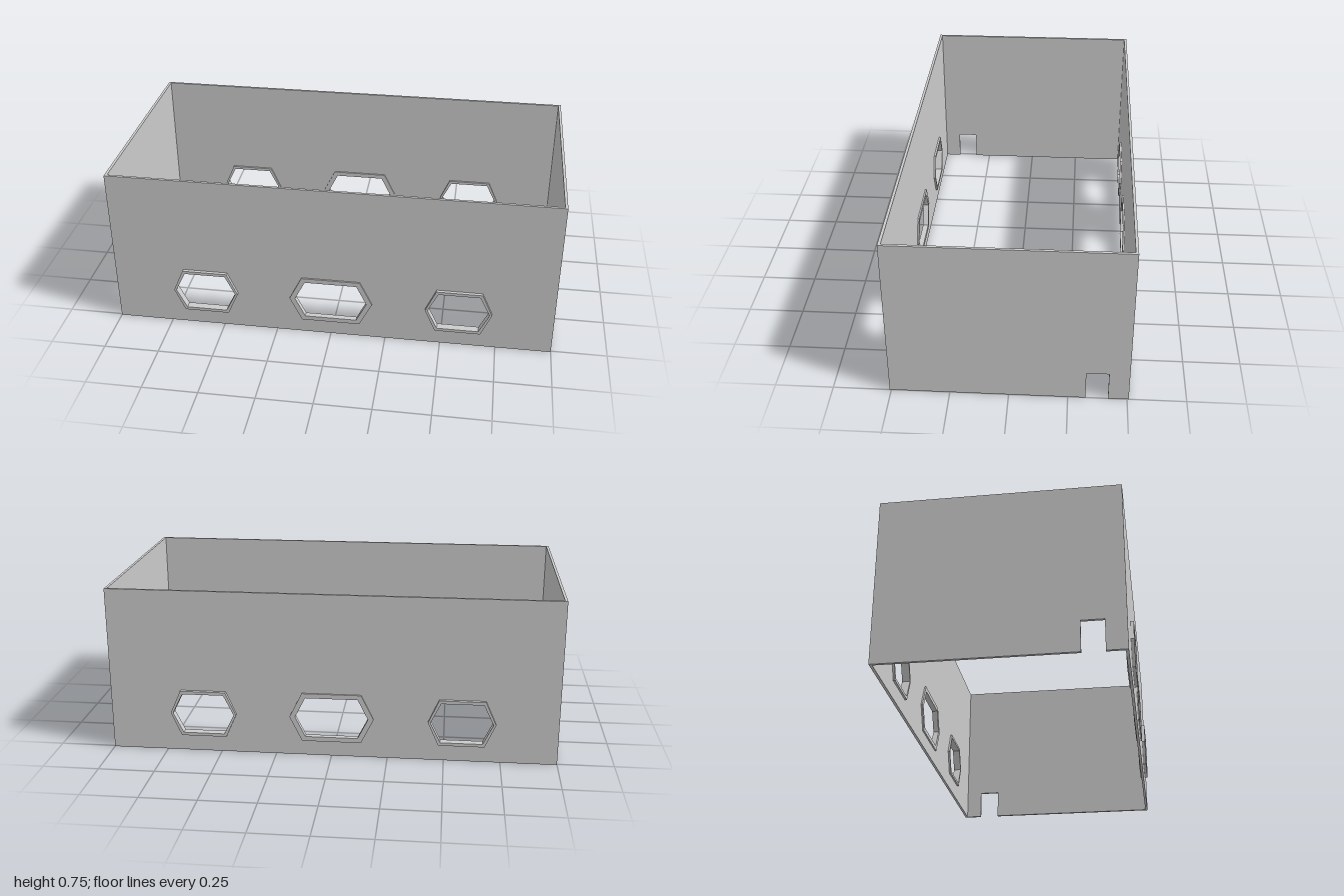
import * as THREE from 'three';

const material = new THREE.MeshStandardMaterial({ color: 0xcccccc, flatShading: true });
const W = 2, H = 0.75, D = 1.014, T = 0.012;
const WINDOW_Y = 0.182;

// Stretched hexagon with points at left and right
function hexagon(path, cx, cy, halfW, halfH, flat) {
  path.moveTo(cx - halfW, cy);
  path.lineTo(cx - flat, cy - halfH);
  path.lineTo(cx + flat, cy - halfH);
  path.lineTo(cx + halfW, cy);
  path.lineTo(cx + flat, cy + halfH);
  path.lineTo(cx - flat, cy + halfH);
  path.closePath();
  return path;
}

function extrude(name, shape, depth) {
  const mesh = new THREE.Mesh(
    new THREE.ExtrudeGeometry(shape, { depth, bevelEnabled: false }), material);
  mesh.name = name;
  return mesh;
}

// halfW, halfH, flat describe the opening; rimW, rimH, rimFlat the frame outline
const sideWindow = { halfW: 0.138, halfH: 0.092, flat: 0.093, rimW: 0.149, rimH: 0.106, rimFlat: 0.102, inner: 0.486, outer: 0.522 };
const middleWindow = { halfW: 0.163, halfH: 0.092, flat: 0.117, rimW: 0.188, rimH: 0.113, rimFlat: 0.132, inner: 0.488, outer: 0.514 };
const windows = [
  { x: -0.577, ...sideWindow },
  { x: 0, ...middleWindow },
  { x: 0.577, ...sideWindow },
];

// Long wall with three hexagonal windows and their frames, facing +z
function longWall(name) {
  const group = new THREE.Group();
  group.name = name;
  const shape = new THREE.Shape();
  shape.moveTo(-W / 2, 0);
  shape.lineTo(W / 2, 0);
  shape.lineTo(W / 2, H);
  shape.lineTo(-W / 2, H);
  shape.closePath();
  for (const w of windows) {
    shape.holes.push(hexagon(new THREE.Path(), w.x, WINDOW_Y, w.halfW + 0.004, w.halfH + 0.004, w.flat + 0.003));
    const rim = hexagon(new THREE.Shape(), w.x, WINDOW_Y, w.rimW, w.rimH, w.rimFlat);
    rim.holes.push(hexagon(new THREE.Path(), w.x, WINDOW_Y, w.halfW, w.halfH, w.flat));
    const frame = extrude('windowFrame', rim, w.outer - w.inner);
    frame.position.z = w.inner;
    group.add(frame);
  }
  const panel = extrude('longPanel', shape, T);
  panel.position.z = D / 2 - T;
  group.add(panel);
  return group;
}

// End wall with a small notch at its foot, facing +x
function endWall(name) {
  const half = D / 2 - T;
  const shape = new THREE.Shape();
  // shape x runs towards -z once the panel is turned
  shape.moveTo(-half, 0);
  shape.lineTo(0.325, 0);
  shape.lineTo(0.325, 0.135);
  shape.lineTo(0.42, 0.135);
  shape.lineTo(0.42, 0);
  shape.lineTo(half, 0);
  shape.lineTo(half, H);
  shape.lineTo(-half, H);
  shape.closePath();
  const panel = extrude('endPanel', shape, T);
  panel.rotation.y = Math.PI / 2;
  panel.position.x = W / 2 - T;
  const group = new THREE.Group();
  group.name = name;
  group.add(panel);
  return group;
}

export function createModel() {
  const model = new THREE.Group();
  model.name = 'openBoxWithWindows';
  const back = longWall('backWall');
  const right = endWall('rightWall');
  // The opposite walls are the same parts turned half way round
  back.rotation.y = Math.PI;
  right.rotation.y = Math.PI;
  model.add(longWall('frontWall'), back, endWall('leftWall'), right);
  return model;
}
